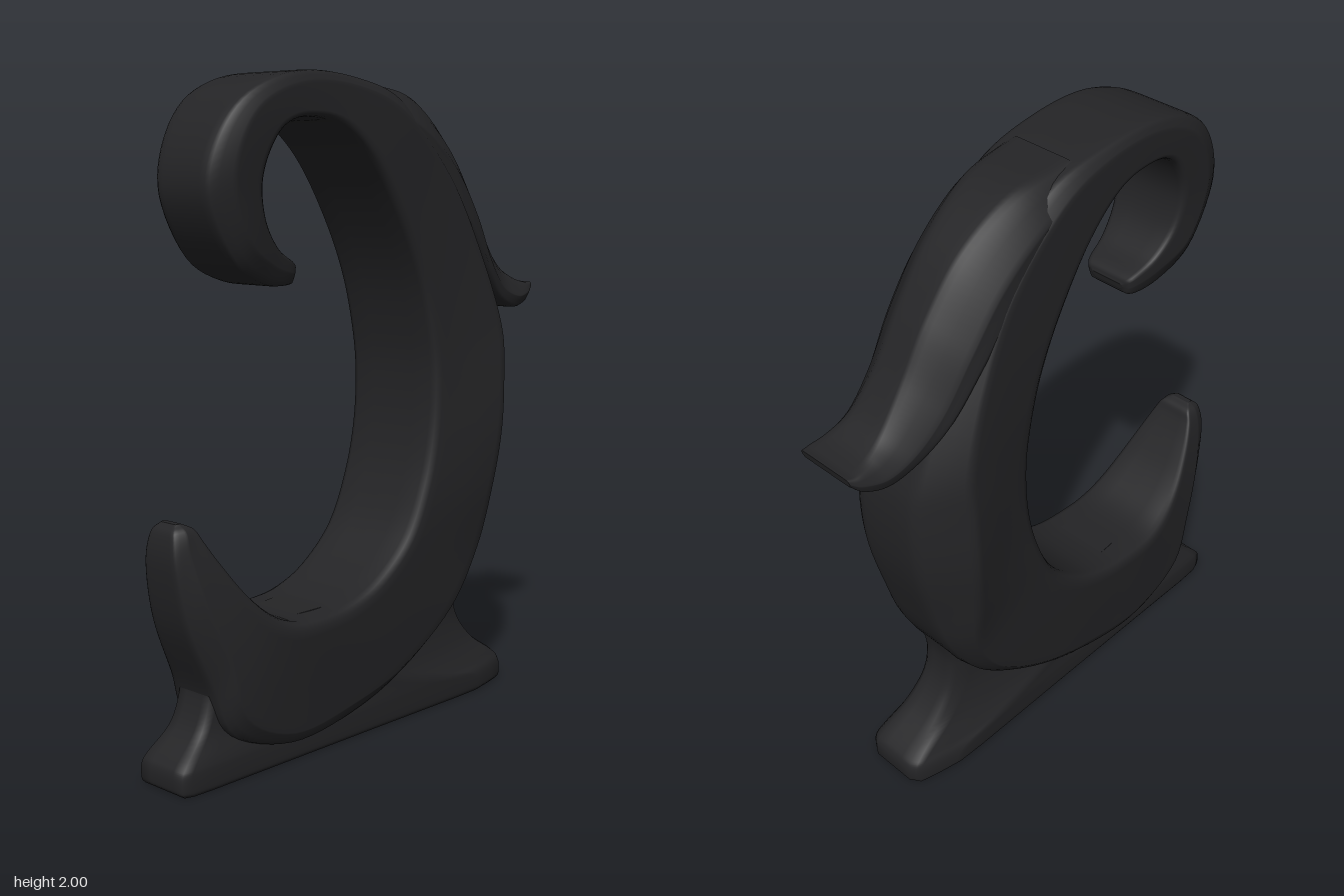
import * as THREE from 'three';

const material = new THREE.MeshStandardMaterial({ color: 0x242426, roughness: 0.8 });

// Half cross-section running from the inner edge (u = 0) to the outer edge (u = 1)
function halfSection(zi, zc, uc, zo) {
  const mix = THREE.MathUtils.lerp;
  const rest = 1 - uc;
  return [
    [0, 0], [0, 0.45 * zi], [0, 0.84 * zi], [0.02, 0.94 * zi], [0.07, 0.99 * zi],
    [0.14, mix(zi, zc, 0.05)], [uc * 0.6, mix(zi, zc, 0.55)], [uc * 0.92, mix(zi, zc, 0.96)],
    [uc, zc * 0.995], [uc + rest * 0.12, mix(zc, zo, 0.12)], [uc + rest * 0.55, mix(zc, zo, 0.5)],
    [uc + rest * 0.88, mix(zc, zo, 0.9)], [0.99, zo * 0.93], [1, zo * 0.72], [1, zo * 0.35], [1, 0],
  ];
}

// Smooth loft through stations: [innerX, innerY, outerX, outerY, innerZ, creaseZ, creaseU, outerZ]
function loft(name, stations, steps) {
  const curve = (pick) => new THREE.CatmullRomCurve3(
    stations.map((s) => new THREE.Vector3(...pick(s))), false, 'catmullrom', 0.5);
  const inner = curve((s) => [s[0], s[1], s[4]]);
  const outer = curve((s) => [s[2], s[3], s[7]]);
  const crease = curve((s) => [s[6], s[5], 0]);
  const positions = [], index = [], rings = [];

  for (let i = 0; i <= steps; i++) {
    const t = i / steps;
    const a = inner.getPoint(t), b = outer.getPoint(t), c = crease.getPoint(t);
    const half = halfSection(a.z, c.y, c.x, b.z);
    const back = half.slice(1, -1).reverse().map(([u, z]) => [u, -z]);
    rings.push([...half, ...back].map(([u, z]) => [
      THREE.MathUtils.lerp(a.x, b.x, u), THREE.MathUtils.lerp(a.y, b.y, u), z]));
  }
  const n = rings[0].length;
  rings.forEach((ring) => ring.forEach((p) => positions.push(...p)));
  for (let i = 0; i < steps; i++) {
    for (let j = 0; j < n; j++) {
      const k = (j + 1) % n;
      const a = i * n + j, b = i * n + k, c = a + n, d = b + n;
      index.push(a, c, b, b, c, d);
    }
  }
  // End caps with their own vertices so the rims stay crisp
  [rings[0], rings[steps]].forEach((ring, end) => {
    const start = positions.length / 3;
    const centre = [0, 1, 2].map((k) => ring.reduce((sum, p) => sum + p[k], 0) / n);
    [centre, ...ring].forEach((p) => positions.push(...p));
    for (let j = 0; j < n; j++) {
      const a = start + 1 + j, b = start + 1 + ((j + 1) % n);
      index.push(start, ...(end ? [b, a] : [a, b]));
    }
  });

  const geometry = new THREE.BufferGeometry();
  geometry.setAttribute('position', new THREE.Float32BufferAttribute(positions, 3));
  geometry.setIndex(index);
  geometry.computeVertexNormals();
  const mesh = new THREE.Mesh(geometry, material);
  mesh.name = name;
  return mesh;
}

export function createModel() {
  const group = new THREE.Group();
  group.name = 'scrollOrnament';

  // Curled upper scroll and the arched back
  const scroll = [
    [-0.325, 1.44, -0.33, 1.42, 0.06, 0.06, 0.5, 0.05],
    [-0.34, 1.465, -0.35, 1.403, 0.09, 0.09, 0.5, 0.08],
    [-0.42, 1.51, -0.46, 1.41, 0.11, 0.11, 0.5, 0.09],
    [-0.48, 1.59, -0.59, 1.48, 0.125, 0.13, 0.6, 0.1],
    [-0.5, 1.69, -0.685, 1.655, 0.135, 0.138, 0.6, 0.1],
    [-0.475, 1.78, -0.657, 1.81, 0.143, 0.145, 0.65, 0.11],
    [-0.42, 1.85, -0.55, 1.935, 0.15, 0.15, 0.7, 0.125],
    [-0.33, 1.873, -0.36, 2.0, 0.155, 0.155, 0.75, 0.14],
    [-0.2, 1.85, -0.13, 1.99, 0.162, 0.162, 0.8, 0.14],
    [-0.07, 1.74, 0.08, 1.93, 0.17, 0.172, 0.8, 0.13],
    [0.05, 1.56, 0.3, 1.74, 0.175, 0.18, 0.8, 0.12],
    [0.13, 1.39, 0.44, 1.5, 0.178, 0.197, 0.8, 0.12],
    [0.175, 1.22, 0.56, 1.25, 0.18, 0.22, 0.75, 0.12],
  ];
  // Belly, foot of the curve and the upturned horn
  const belly = [
    [0.19, 1.08, 0.597, 1.1, 0.18, 0.232, 0.68, 0.12],
    [0.18, 0.92, 0.59, 0.9, 0.18, 0.233, 0.68, 0.12],
    [0.14, 0.76, 0.545, 0.7, 0.18, 0.212, 0.74, 0.11],
    [0.06, 0.6, 0.475, 0.5, 0.178, 0.178, 0.84, 0.11],
    [-0.07, 0.49, 0.34, 0.31, 0.174, 0.165, 0.88, 0.11],
    [-0.2, 0.44, 0.1, 0.16, 0.17, 0.155, 0.9, 0.12],
    [-0.33, 0.43, -0.15, 0.085, 0.168, 0.147, 0.9, 0.13],
    [-0.42, 0.44, -0.4, 0.06, 0.165, 0.143, 0.9, 0.125],
    [-0.5, 0.48, -0.61, 0.13, 0.155, 0.142, 0.82, 0.1],
    [-0.58, 0.555, -0.68, 0.29, 0.135, 0.135, 0.7, 0.085],
    [-0.65, 0.65, -0.755, 0.47, 0.105, 0.11, 0.6, 0.075],
    [-0.69, 0.715, -0.787, 0.64, 0.08, 0.083, 0.55, 0.065],
    [-0.708, 0.75, -0.78, 0.735, 0.06, 0.065, 0.5, 0.05],
    [-0.735, 0.766, -0.755, 0.766, 0.035, 0.035, 0.5, 0.03],
  ];
  group.add(loft('curvedBody', [...scroll, ...belly], 156));

  // Leaf that peels away from the back of the arch
  group.add(loft('leaf', [
    [-0.1, 1.86, -0.04, 1.978, 0.13, 0.15, 0.5, 0.11],
    [0.08, 1.77, 0.16, 1.945, 0.165, 0.17, 0.5, 0.095],
    [0.24, 1.66, 0.33, 1.835, 0.178, 0.172, 0.45, 0.075],
    [0.36, 1.53, 0.455, 1.68, 0.18, 0.168, 0.4, 0.065],
    [0.46, 1.4, 0.55, 1.525, 0.165, 0.155, 0.35, 0.065],
    [0.55, 1.315, 0.635, 1.415, 0.14, 0.14, 0.35, 0.075],
    [0.66, 1.275, 0.7, 1.37, 0.125, 0.132, 0.4, 0.09],
    [0.74, 1.29, 0.76, 1.352, 0.11, 0.116, 0.5, 0.1],
    [0.783, 1.325, 0.79, 1.352, 0.095, 0.1, 0.5, 0.095],
  ], 64));

  // Flared base, lofted from the web inside the curve down to the floor
  group.add(loft('base', [
    [-0.6, 0.42, 0.44, 0.46, 0.06, 0.11, 0.5, 0.08],
    [-0.665, 0.34, 0.425, 0.36, 0.07, 0.115, 0.5, 0.075],
    [-0.67, 0.25, 0.445, 0.26, 0.075, 0.12, 0.5, 0.075],
    [-0.705, 0.16, 0.515, 0.17, 0.08, 0.128, 0.6, 0.085],
    [-0.775, 0.09, 0.615, 0.1, 0.1, 0.138, 0.75, 0.1],
    [-0.795, 0.06, 0.645, 0.065, 0.105, 0.142, 0.85, 0.105],
    [-0.795, 0.015, 0.645, 0.015, 0.105, 0.14, 0.88, 0.105],
    [-0.785, 0, 0.635, 0, 0.1, 0.133, 0.88, 0.1],
  ], 42));

  return group;
}
